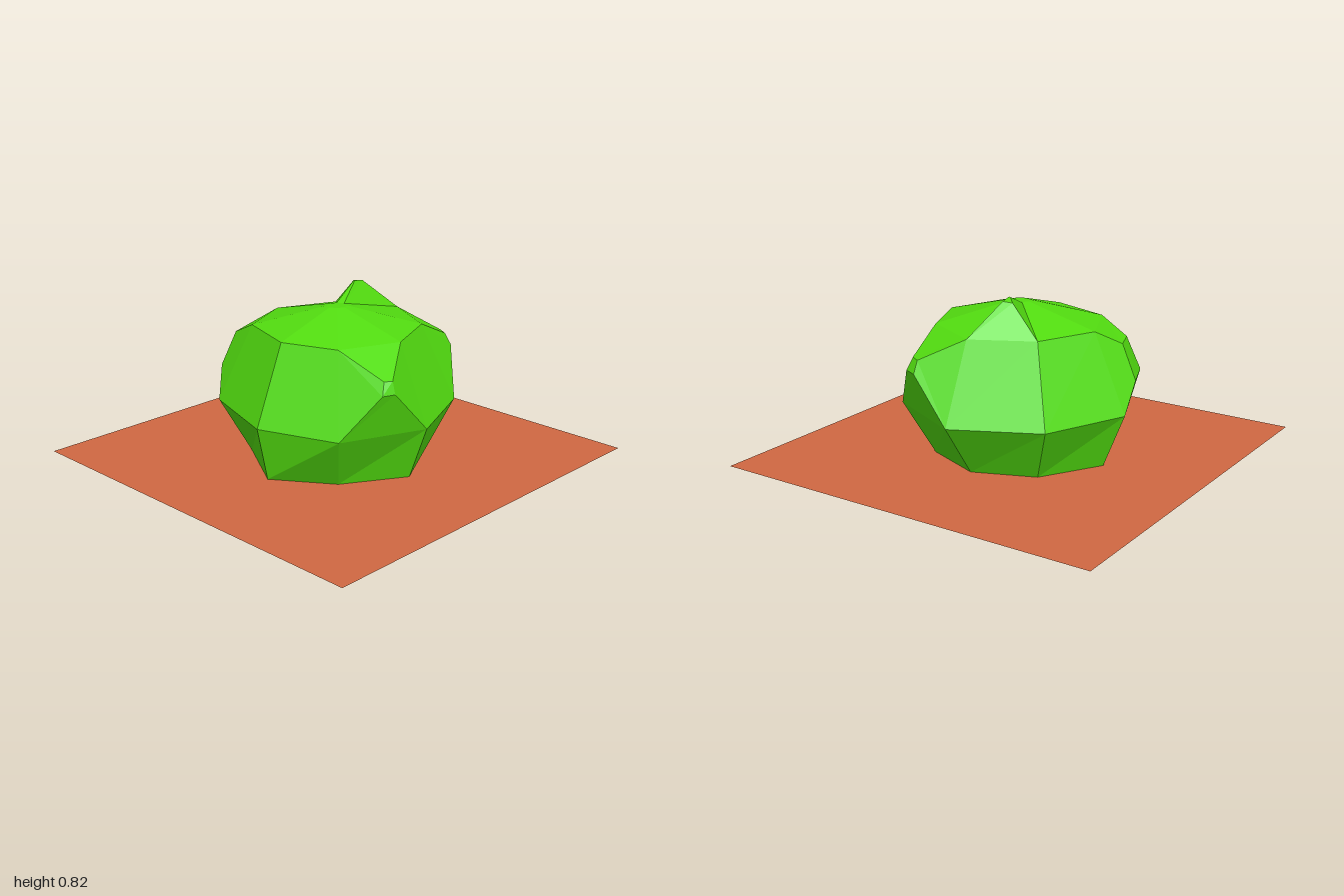
import * as THREE from 'three';

const bushGreen = new THREE.MeshStandardMaterial({ color: 0x52dc10, flatShading: true });
bushGreen.name = 'bushGreen';
const clay = new THREE.MeshStandardMaterial({ color: 0xd06842, side: THREE.DoubleSide });
clay.name = 'clay';

// Eight-sided ring at height y, starting at the front and turning towards +x.
function ring(y, front, right, back, left, corner, frontX = 0) {
  const c = corner;
  return [[frontX, front], [c, c], [right, 0], [c, -c], [0, -back], [-c, -c], [-left, 0], [-c, c]]
    .map(([x, z]) => [x, y, z]);
}

const rings = [
  ring(0, 0.49, 0.48, 0.42, 0.48, 0.3, 0.02),
  ring(0.27, 0.55, 0.58, 0.61, 0.59, 0.41, 0.02),
  ring(0.655, 0.39, 0.41, 0.44, 0.42, 0.29, 0.02),
  ring(0.75, 0.05, 0.05, 0.05, 0.05, 0.035),
];

// Panels pulled outwards into a small cap, keyed by "row,side".
const bumps = {
  '1,1': [[0.545, 0.49, 0.27], [0.567, 0.49, 0.21], [0.55, 0.55, 0.21], [0.53, 0.55, 0.245]],
  '1,3': [[0.27, 0.49, -0.545], [0.2, 0.49, -0.58], [0.2, 0.55, -0.55], [0.25, 0.55, -0.52]],
  '1,6': [[-0.575, 0.41, 0.125], [-0.5, 0.41, 0.31], [-0.45, 0.58, 0.255], [-0.5, 0.58, 0.125]],
  '2,4': [[-0.085, 0.81, -0.27], [-0.13, 0.805, -0.255], [-0.09, 0.82, -0.215], [-0.08, 0.82, -0.21]],
};

function bushGeometry() {
  const positions = [];
  const tri = (...points) => points.forEach((p) => positions.push(...p));
  const quad = (a, b, c, d) => { tri(a, b, c); tri(a, c, d); };

  for (let row = 0; row < rings.length - 1; row++) {
    for (let k = 0; k < 8; k++) {
      const n = (k + 1) % 8;
      const panel = [rings[row][k], rings[row][n], rings[row + 1][n], rings[row + 1][k]];
      const cap = bumps[`${row},${k}`];
      if (!cap) {
        quad(...panel);
        continue;
      }
      for (let i = 0; i < 4; i++) {
        const j = (i + 1) % 4;
        quad(panel[i], panel[j], cap[j], cap[i]);
      }
      quad(...cap);
    }
  }

  // Flat crown
  for (let k = 0; k < 8; k++) tri(rings[3][k], rings[3][(k + 1) % 8], [0, 0.75, 0]);

  const geometry = new THREE.BufferGeometry();
  geometry.setAttribute('position', new THREE.Float32BufferAttribute(positions, 3));
  geometry.computeVertexNormals();
  return geometry;
}

export function createModel() {
  const model = new THREE.Group();
  model.name = 'bushOnGround';

  const bush = new THREE.Mesh(bushGeometry(), bushGreen);
  bush.name = 'bush';

  const ground = new THREE.Mesh(new THREE.PlaneGeometry(2, 2).rotateX(-Math.PI / 2), clay);
  ground.name = 'ground';

  model.add(bush, ground);
  return model;
}
